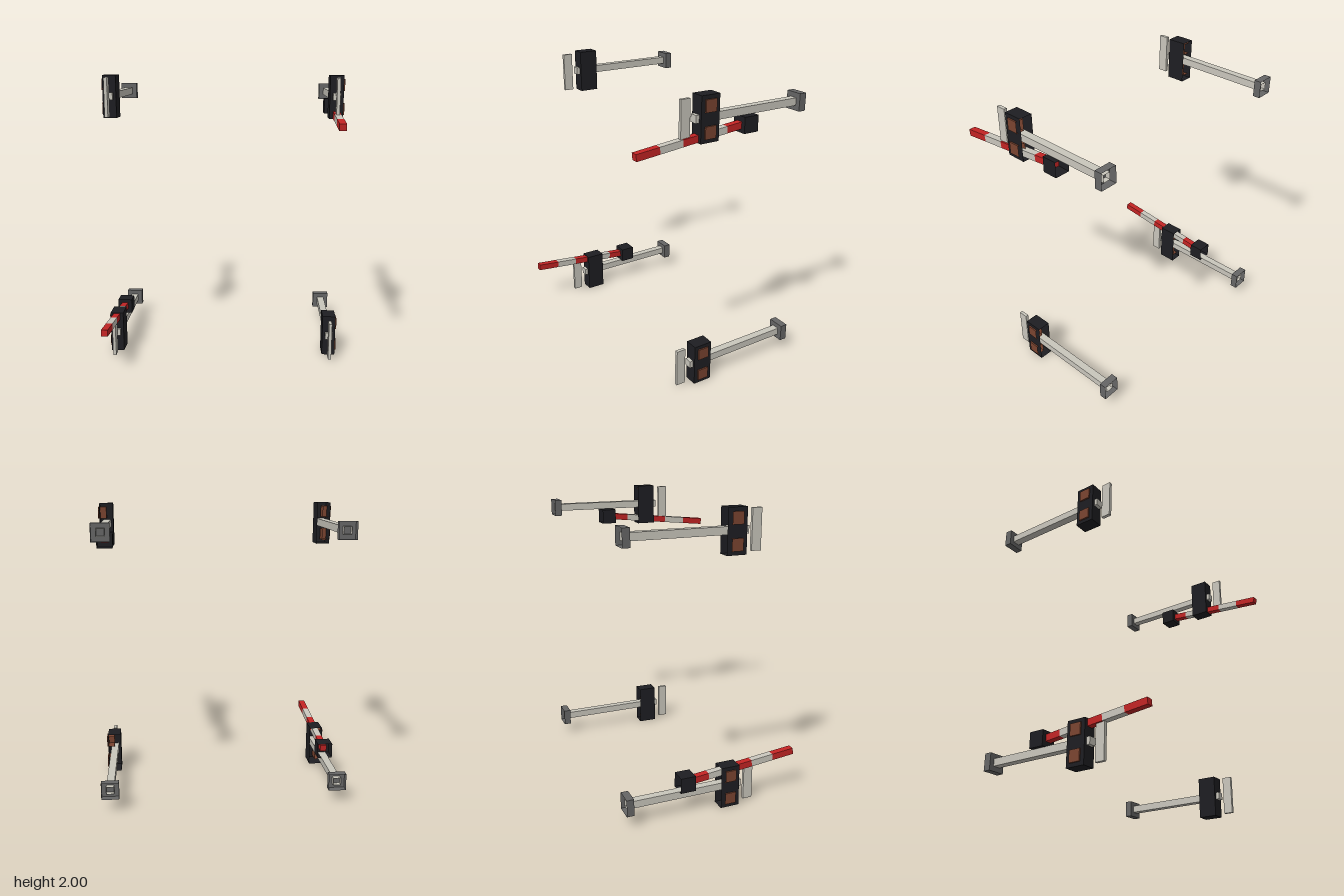
import * as THREE from 'three';

const mat = (color) => new THREE.MeshStandardMaterial({ color, flatShading: true, side: THREE.DoubleSide });

export function createModel() {
  const white = mat(0xc9c6bc), red = mat(0xc32424), black = mat(0x1e1e22);
  const brown = mat(0x7a4430), grey = mat(0x666666);

  // Box given by centre and size; an open one lacks its -z face
  function box(parent, name, material, [x, y, z], [w, h, d], open = false) {
    const geometry = new THREE.BoxGeometry(w, h, d);
    if (open) {
      geometry.setIndex(Array.from(geometry.index.array).slice(0, 30));
      geometry.clearGroups();
    }
    const mesh = new THREE.Mesh(geometry, material);
    mesh.name = name;
    mesh.position.set(x, y, z);
    parent.add(mesh);
    return mesh;
  }

  // Signal lying along z, its lamps facing the given side
  function createSignal(side) {
    const signal = new THREE.Group();
    signal.name = 'crossingSignal';
    box(signal, 'base', grey, [0, 0.004, -0.59], [0.118, 0.116, 0.05], true);
    box(signal, 'post', white, [0, 0.004, -0.195], [0.052, 0.05, 0.81], true);
    box(signal, 'lampHousing', black, [0, 0, 0.12], [0.092, 0.291, 0.132], true);
    for (const y of [-0.081, 0.081]) {
      box(signal, 'lamp', brown, [side * 0.0285, y, 0.12], [0.055, 0.078, 0.078], true);
    }
    box(signal, 'signBoard', white, [0, 0, 0.272], [0.022, 0.265, 0.065]);
    return signal;
  }

  // Striped barrier arm with a counterweight; offset and tilt follow the side
  function createArm(side) {
    const arm = new THREE.Group();
    arm.name = 'barrierArm';
    const weight = new THREE.Vector3(0, -side * 0.08, -0.188);
    const tip = new THREE.Vector3(0, -side * 0.16, 0.612);
    box(arm, 'counterweight', black, weight.toArray(), [0.105, 0.105, 0.105], true);
    const beam = new THREE.Group();
    beam.name = 'stripedBeam';
    beam.position.copy(weight);
    beam.rotation.x = Math.atan2(weight.y - tip.y, tip.z - weight.z);
    const length = weight.distanceTo(tip) / 5;
    for (let i = 0; i < 5; i++) {
      box(beam, 'stripe', i % 2 ? white : red, [0, 0, (i + 0.5) * length], [0.046, 0.045, length]);
    }
    arm.add(beam);
    return arm;
  }

  // Two pairs of signals; one of each pair carries an arm
  const model = new THREE.Group();
  model.name = 'levelCrossing';
  for (const side of [-1, 1]) {
    for (const level of [-1, 1]) {
      const signal = createSignal(side);
      signal.position.set(side * 0.772, 1 + level * 0.854, 0);
      if (side === level) signal.add(createArm(side));
      model.add(signal);
    }
  }
  return model;
}
